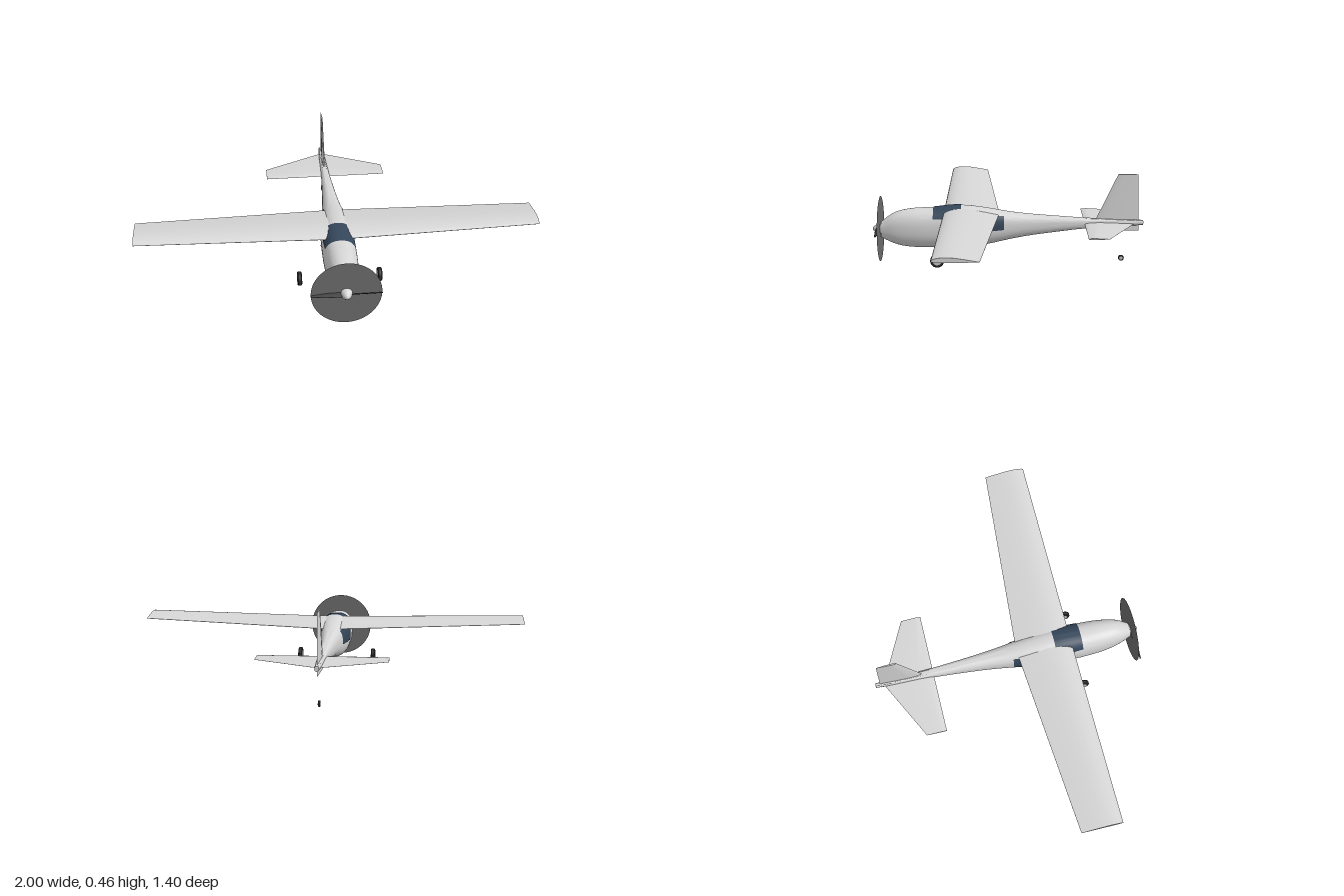
import * as THREE from 'three';
import { toCreasedNormals } from 'three/addons/utils/BufferGeometryUtils.js';

const mat = (name, color, side = THREE.FrontSide) =>
  Object.assign(new THREE.MeshStandardMaterial({ color, side }), { name });

// Fuselage stations from nose to tail: z, top, bottom, half width
const STATIONS = [
  [0.655, 0.212, 0.13, 0.034], [0.6, 0.253, 0.105, 0.056], [0.55, 0.272, 0.089, 0.068],
  [0.48, 0.283, 0.081, 0.078], [0.38, 0.288, 0.079, 0.083], [0.28, 0.299, 0.08, 0.083],
  [0.2, 0.297, 0.084, 0.08], [0.1, 0.284, 0.098, 0.071], [0, 0.267, 0.12, 0.057],
  [-0.1, 0.255, 0.139, 0.045], [-0.2, 0.247, 0.153, 0.036], [-0.4, 0.233, 0.177, 0.023],
  [-0.6, 0.225, 0.19, 0.016], [-0.7, 0.221, 0.195, 0.011],
];
const POWER = 2.4; // squareness of the body section

// Smooth interpolation of the stations at any z
function station(z) {
  const S = STATIONS, last = S.length - 1;
  let i = 0;
  while (i < last - 1 && z < S[i + 1][0]) i++;
  const slope = (k, c) => {
    const a = S[Math.max(k - 1, 0)], b = S[Math.min(k + 1, last)];
    return (b[c] - a[c]) / (b[0] - a[0]);
  };
  const d = S[i + 1][0] - S[i][0], t = (z - S[i][0]) / d, t2 = t * t, t3 = t2 * t;
  const at = (c) => (2 * t3 - 3 * t2 + 1) * S[i][c] + (t3 - 2 * t2 + t) * d * slope(i, c)
    + (3 * t2 - 2 * t3) * S[i + 1][c] + (t3 - t2) * d * slope(i + 1, c);
  const top = at(1), bottom = at(2);
  return { mid: (top + bottom) / 2, h: (top - bottom) / 2, w: at(3) };
}

function bodyPoint(z, angle, offset = 0) {
  const { mid, h, w } = station(z);
  const bend = (v) => Math.sign(v) * Math.abs(v) ** (2 / POWER);
  return new THREE.Vector3((w + offset) * bend(Math.cos(angle)),
    mid + (h + offset) * bend(Math.sin(angle)), z);
}

// Section angle on the +x side where the body reaches height y
function angleAt(z, y) {
  const { mid, h } = station(z);
  const r = Math.max(-1, Math.min(1, (y - mid) / h));
  return Math.sign(r) * Math.asin(Math.abs(r) ** (POWER / 2));
}

// Skin through a row of rings; closed rings get end caps
function loft(rings, closed = true, crease = 0.8) {
  const n = rings[0].length, points = rings.flat(), index = [];
  const steps = closed ? n : n - 1;
  for (let i = 0; i < rings.length - 1; i++) {
    for (let j = 0; j < steps; j++) {
      const a = i * n + j, b = i * n + (j + 1) % n;
      index.push(a, a + n, b, b, a + n, b + n);
    }
  }
  if (closed) {
    [0, rings.length - 1].forEach((r, end) => {
      const center = new THREE.Vector3();
      rings[r].forEach((p) => center.addScaledVector(p, 1 / n));
      const c = points.push(center) - 1;
      for (let j = 0; j < n; j++) {
        const a = r * n + j, b = r * n + (j + 1) % n;
        index.push(c, end ? b : a, end ? a : b);
      }
    });
  }
  const geo = new THREE.BufferGeometry().setFromPoints(points);
  geo.setIndex(index);
  return toCreasedNormals(geo, crease);
}

// Glass panel laid on the body between two angles
function panel(z0, z1, from, to, rows = 16, cols = 16) {
  const rings = [];
  for (let i = 0; i <= rows; i++) {
    const z = THREE.MathUtils.lerp(z0, z1, i / rows), ring = [];
    for (let j = 0; j <= cols; j++) {
      ring.push(bodyPoint(z, THREE.MathUtils.lerp(from(z), to(z), j / cols), 0.002));
    }
    rings.push(ring);
  }
  return loft(rings, false);
}

// Airfoil sections: chord fraction and thickness fraction, over the top and back
const SYMMETRIC = [[0, 0], [0.03, 0.25], [0.12, 0.42], [0.3, 0.5], [0.6, 0.34], [1, 0.02],
  [1, -0.02], [0.6, -0.34], [0.3, -0.5], [0.12, -0.42], [0.03, -0.25]];
const CAMBERED = [[0, 0.3], [0.015, 0.48], [0.05, 0.65], [0.12, 0.85], [0.22, 0.98], [0.34, 1],
  [0.5, 0.9], [0.7, 0.62], [0.87, 0.36], [1, 0.14], [1, 0.08], [0.5, 0.01], [0.2, 0], [0.05, 0.08], [0.015, 0.18]];
const spanRing = (foil, x, y, z, chord, thick) =>
  foil.map(([c, t]) => new THREE.Vector3(x, y + t * thick, z - c * chord));

export function createModel() {
  const model = new THREE.Group();
  model.name = 'airplane';
  const paint = mat('body paint', 0xd6d6d6);
  const glass = mat('dark glass', 0x34465a, THREE.DoubleSide);
  const disc = mat('propeller blur', 0x6c6c6c, THREE.DoubleSide);
  const rubber = mat('rubber', 0x2e2e2e);
  const metal = mat('hub metal', 0xc6c6c6);
  const add = (name, geo, material, parent = model) => {
    const mesh = new THREE.Mesh(geo, material);
    mesh.name = name;
    parent.add(mesh);
    return mesh;
  };

  // Fuselage
  const rings = [];
  for (let i = 0; i <= 70; i++) {
    const z = 0.655 - 1.355 * i / 70;
    rings.push(Array.from({ length: 48 }, (_, j) => bodyPoint(z, j / 48 * Math.PI * 2)));
  }
  add('fuselage', loft(rings), paint);

  // Windshield wraps over the roof; one window on each side
  add('windshield', panel(0.383, 0.24, (z) => angleAt(z, 0.242), (z) => Math.PI - angleAt(z, 0.242), 12, 32), glass);
  const sill = (z) => angleAt(z, 0.168 + (0.248 - z) * 0.065);
  const head = (z) => angleAt(z, 0.252);
  add('leftWindow', panel(0.248, 0.018, sill, head), glass);
  add('rightWindow', panel(0.248, 0.018, (z) => Math.PI - head(z), (z) => Math.PI - sill(z)), glass);

  // Wing with dihedral and a tapered trailing edge
  add('wing', loft([-1, 0, 1].map((x) => x
    ? spanRing(CAMBERED, x, 0.282, 0.33, 0.21, 0.023)
    : spanRing(CAMBERED, x, 0.252, 0.33, 0.287, 0.037))), paint);

  // Tailplane and fin
  add('tailplane', loft([-0.32, 0, 0.32].map((x) =>
    spanRing(SYMMETRIC, x, 0.203, -0.397, x ? 0.103 : 0.262, x ? 0.008 : 0.018))), paint);
  add('fin', loft([[0.166, -0.427, -0.678, 0.016], [0.462, -0.567, -0.67, 0.008]].map(([y, front, back, thick]) =>
    SYMMETRIC.map(([c, t]) => new THREE.Vector3(-t * thick, y, THREE.MathUtils.lerp(front, back, c))))), paint);

  // Propeller: spinner, pitched blades and spinning disc
  const propeller = new THREE.Group();
  propeller.name = 'propeller';
  propeller.position.set(0, 0.175, 0.655);
  model.add(propeller);
  const nose = [[0.029, 0], [0.028, 0.012], [0.022, 0.026], [0.012, 0.039], [0.005, 0.044], [0, 0.045]]
    .map(([r, h]) => new THREE.Vector2(r, h));
  add('spinner', new THREE.LatheGeometry(nose, 24).rotateX(Math.PI / 2), paint, propeller);
  add('propellerDisc', new THREE.CircleGeometry(0.169, 64).translate(0, 0, 0.004), disc, propeller);
  const blades = [[-0.17, 0.008], [-0.1, 0.022], [-0.03, 0.026], [0.03, 0.026], [0.1, 0.022], [0.17, 0.008]];
  add('blades', loft(blades.map(([x, chord]) =>
    spanRing(SYMMETRIC, 0, 0, chord / 2, chord, 0.004).map((p) =>
      p.applyAxisAngle(new THREE.Vector3(1, 0, 0), -Math.sign(x) * 0.6).add(new THREE.Vector3(x, 0, 0.014))))),
  rubber, propeller);

  // Wheels
  const wheel = (name, x, y, z, radius, width) => {
    const group = new THREE.Group();
    group.name = name;
    group.position.set(x, y, z);
    const b = width / 2, r = radius, hole = radius * 0.62;
    const tyre = [[hole, -b], [r * 0.88, -b], [r, -b * 0.6], [r, b * 0.6], [r * 0.88, b], [hole, b], [hole, -b]]
      .map(([px, py]) => new THREE.Vector2(px, py));
    add('tyre', toCreasedNormals(new THREE.LatheGeometry(tyre, 24).rotateZ(Math.PI / 2), 0.6), rubber, group);
    add('hub', new THREE.CylinderGeometry(hole, hole, width * 1.04, 16).rotateZ(Math.PI / 2), metal, group);
    model.add(group);
  };
  wheel('leftWheel', 0.2, 0.06, 0.355, 0.035, 0.022);
  wheel('rightWheel', -0.2, 0.06, 0.355, 0.035, 0.022);
  wheel('tailWheel', 0, 0.018, -0.59, 0.015, 0.011);

  // Stand the model on the ground
  model.position.y = -new THREE.Box3().setFromObject(model).min.y;
  return model;
}
